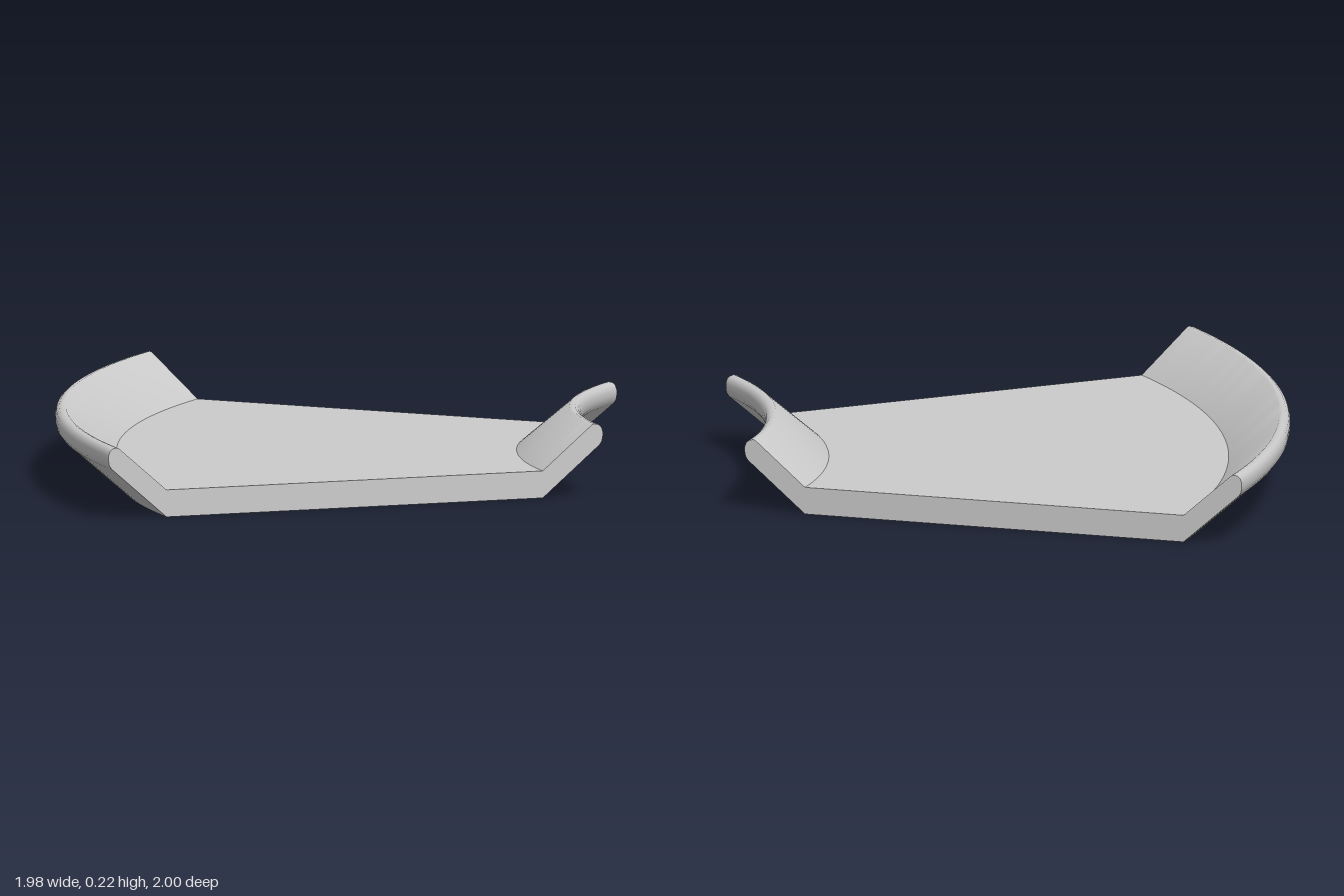
import * as THREE from 'three';
import { toCreasedNormals } from 'three/addons/utils/BufferGeometryUtils.js';

// Curved channel: a shallow tray cross-section swept 45 degrees about a vertical axis.
const AXIS_X = 1.838, AXIS_Z = -1, SWEEP = Math.PI / 4;
const FLOOR_IN = 1.393, FLOOR_OUT = 2.637, THICK = 0.085;

// Sloped wall with rounded rim: [offset away from floor corner, height], underside to top
const WALL = [[0, 0], [0.181, 0.158], [0.189, 0.17], [0.1915, 0.185], [0.1915, 0.2],
  [0.187, 0.214], [0.178, 0.222], [0.165, 0.225], [0.158, 0.223], [0, THICK]];

// Closed cross-section (radius, height), counter-clockwise
function crossSection() {
  const outer = WALL.map(([d, y]) => new THREE.Vector2(FLOOR_OUT + d, y));
  const inner = WALL.map(([d, y]) => new THREE.Vector2(FLOOR_IN - d * 1.034, y)).reverse();
  return [...outer, ...inner];
}

export function createModel() {
  const group = new THREE.Group();
  group.name = 'curvedChannel';
  const material = new THREE.MeshStandardMaterial({ color: 0xcccccc });
  const capMaterial = new THREE.MeshStandardMaterial({ color: 0xcccccc, side: THREE.DoubleSide });
  const profile = crossSection();

  // Swept floor and side walls
  const sweep = new THREE.LatheGeometry([...profile, profile[0].clone()], 40, -Math.PI / 2, SWEEP);
  const body = new THREE.Mesh(toCreasedNormals(sweep, 0.6), material);
  body.name = 'trayBody';
  group.add(body);

  // Flat end faces
  [['backEnd', 0], ['frontEnd', SWEEP]].forEach(([name, angle]) => {
    const cap = new THREE.Mesh(new THREE.ShapeGeometry(new THREE.Shape(profile)), capMaterial);
    cap.rotation.y = Math.PI + angle;
    cap.name = name;
    group.add(cap);
  });

  group.children.forEach((part) => part.position.set(AXIS_X, 0, AXIS_Z));
  return group;
}
